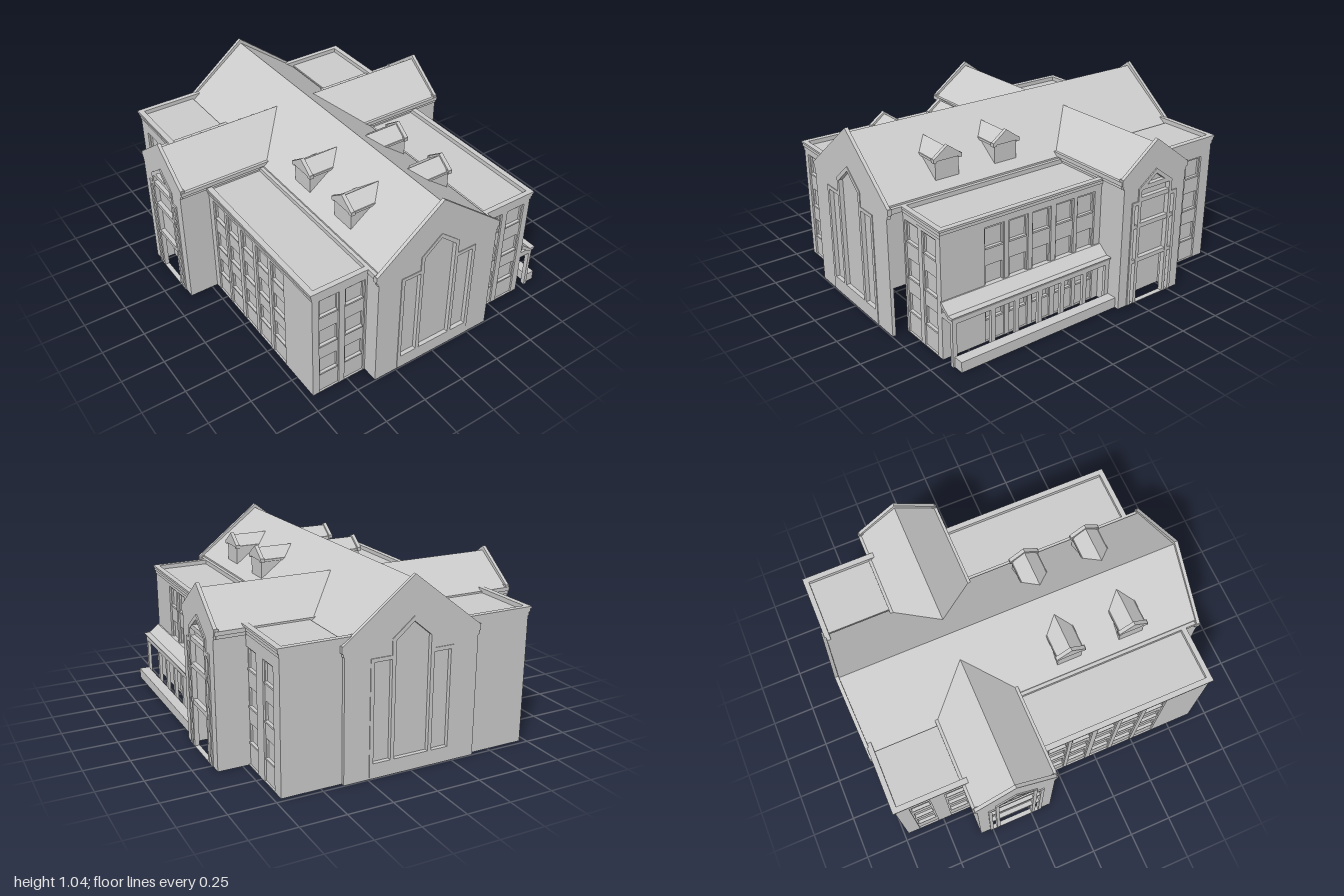
import * as THREE from 'three';

const mat = new THREE.MeshStandardMaterial({ color: 0xcccccc, side: THREE.DoubleSide, flatShading: true });
const V = (p) => p.map(([x, y]) => new THREE.Vector2(x, y));
const rect = (x0, x1, y0, y1) => [[x0, y0], [x1, y0], [x1, y1], [x0, y1]];

function add(parent, name, geo) {
  const m = new THREE.Mesh(geo, mat);
  m.name = name;
  parent.add(m);
  return m;
}
function box(parent, name, x0, x1, y0, y1, z0, z1) {
  const g = new THREE.BoxGeometry(Math.abs(x1 - x0), y1 - y0, Math.abs(z1 - z0));
  g.translate((x0 + x1) / 2, (y0 + y1) / 2, (z0 + z1) / 2);
  return add(parent, name, g);
}
// Flat outline with holes, extruded from z0 to z1
function slab(parent, name, outline, z0, z1, holes = []) {
  const s = new THREE.Shape(V(outline));
  holes.forEach((h) => s.holes.push(new THREE.Path(V(h))));
  const g = new THREE.ExtrudeGeometry(s, { depth: z1 - z0, bevelEnabled: false });
  g.translate(0, 0, z0);
  return add(parent, name, g);
}
const chevron = (w, e, r, t) => [[-w, e], [0, r], [w, e], [w, e - t], [0, r - t], [-w, e - t]];
const gable = (w, e, r) => [[-w, 0], [w, 0], [w, e], [0, r], [-w, e]];

// Main roof surface, used to trim the roofs that run into it
const RIDGE = 1.015, SLOPE = 0.76;
const roofX = (y) => (RIDGE - y) / SLOPE;

// Pitched roof whose inner end is cut along the main roof
function trimmedRoof(parent, name, w, e, r, t, zOut) {
  const m = slab(parent, name, chevron(w, e, r, t), 0, zOut);
  const p = m.geometry.attributes.position;
  for (let i = 0; i < p.count; i++) if (p.getZ(i) < 1e-4) p.setZ(i, roofX(p.getY(i)) - 0.01);
  m.geometry.computeVertexNormals();
}
// Group whose +z looks out towards side * x
function sideGroup(parent, name, side, z) {
  const g = new THREE.Group();
  g.name = name;
  g.rotation.y = side * Math.PI / 2;
  g.position.z = z;
  parent.add(g);
  return g;
}

// Wall with recessed window bays, three storeys each
function facade(parent, name, x0, x1, h, z, centres) {
  const g = new THREE.Group();
  g.name = name;
  parent.add(g);
  const lo = Math.min(x0, x1), hi = Math.max(x0, x1), rows = [0.135, 0.335, 0.54];
  const bays = centres.map((c) => rect(c - 0.061, c + 0.061, 0.004, 0.655));
  const wins = centres.flatMap((c) => rows.map((y) => rect(c - 0.051, c + 0.051, y, y + 0.103)));
  slab(g, 'wallFace', rect(lo, hi, 0, h), z - 0.01, z, bays);
  slab(g, 'wallCore', rect(lo, hi, 0, h), z - 0.022, z - 0.01, wins);
  centres.forEach((c) => rows.forEach((y) => {
    box(g, 'windowPane', c - 0.052, c + 0.052, y, y + 0.104, z - 0.026, z - 0.021);
    box(g, 'windowSill', c - 0.055, c + 0.055, y - 0.01, y, z - 0.012, z - 0.003);
  }));
}

// Tall pointed window with a lower light on either side; glass starts at height b.glass
function bayWindow(parent, b, zWall, zFrame) {
  const { c, s, low, sh, peak, f, sill } = b;
  const outlineFrom = (y) => [[-s, y], [s, y], [s, low], [c, low], [c, sh], [0, peak], [-c, sh], [-c, low], [-s, low]];
  const outline = outlineFrom(0.004), ci = c - f;
  const holes = [[[-ci, sill], [ci, sill], [ci, sh - f * 0.6], [0, peak - f * 1.3], [-ci, sh - f * 0.6]]];
  for (const k of [-1, 1]) holes.push(rect(k * c, k * (s - f), sill, low - f));
  slab(parent, 'bayFrame', outline, zWall - 0.02, zFrame, holes);
  slab(parent, 'bayGlass', outlineFrom(b.glass), zWall - 0.026, zWall - 0.02);
  for (const y of b.bands) {
    box(parent, 'bayTransom', -ci, ci, y, y + 0.025, zWall - 0.02, zFrame - 0.002);
    if (y < low - 0.05) for (const k of [-1, 1]) box(parent, 'sideTransom', k * c, k * (s - f), y, y + 0.02, zWall - 0.02, zFrame - 0.003);
  }
  return outline;
}

// Gable end: wall, window, flush coping and kneelers
function gableEnd(parent, w, e, r, b, zWall, zFrame) {
  const outline = bayWindow(parent, b, zWall, zFrame);
  slab(parent, 'gableWall', gable(w, e, r), zWall - 0.02, zWall, [outline]);
  slab(parent, 'gableCoping', chevron(w + 0.01, e + 0.02, r + 0.025, 0.04), zWall - 0.02, zWall);
  for (const k of [-1, 1]) {
    box(parent, 'kneeler', k * (w - 0.02), k * (w + 0.015), e - 0.015, e + 0.02, zWall - 0.025, zWall);
    box(parent, 'kneelerFoot', k * (w - 0.02), k * (w + 0.007), e - 0.035, e - 0.015, zWall - 0.022, zWall);
  }
}

// Flat-roofed wing between za (outer end) and zb
function wing(model, side, name, za, zb, h, centres, endCentres, innerX, cornicePast) {
  const g = new THREE.Group();
  g.name = name;
  model.add(g);
  const X = 0.715, d = Math.sign(za), wallH = h - 0.03;
  const flank = sideGroup(g, name + 'Flank', side, 0);
  facade(flank, 'flankWall', -side * za, -side * zb, wallH, X, centres.map((z) => -side * z));
  if (endCentres.length) facade(g, 'endWall', side * 0.38, side * X, wallH, za, endCentres.map((x) => side * x));
  else box(g, 'endWall', side * 0.38, side * X, 0, wallH, za - d * 0.02, za);
  box(g, 'flatRoof', side * 0.37, side * X, h - 0.035, h - 0.025, za, zb);
  // Stepped cornice and parapet
  [[0.004, h - 0.05, h - 0.03], [0.009, h - 0.03, h - 0.012], [0.014, h - 0.012, h]].forEach(([o, y0, y1]) => {
    box(g, 'flankCornice', side * (X - 0.018), side * (X + o), y0, y1, za + d * o * 0.7, zb + cornicePast);
    box(g, 'endCornice', side * innerX, side * (X + o), y0, y1, za - d * 0.02, za + d * o * 0.7);
  });
}

// Plain gabled dormer
function dormer(model, side, z) {
  const g = sideGroup(model, 'dormer', side, z);
  trimmedRoof(g, 'dormerRoof', 0.075, 0.885, 0.943, 0.015, 0.315);
  slab(g, 'dormerFace', [[-0.072, 0.755], [0.072, 0.755], [0.072, 0.885], [0, 0.94], [-0.072, 0.885]], 0.3, 0.318);
  slab(g, 'dormerCoping', [[-0.085, 0.893], [-0.072, 0.88], [0.072, 0.88], [0.085, 0.893], [0, 0.955]], 0.306, 0.328);
  for (const k of [-1, 1]) {
    slab(g, 'dormerKneeler', rect(k * 0.066, k * 0.088, 0.872, 0.893), 0.303, 0.328);
    box(g, 'dormerEave', k * 0.07, k * 0.08, 0.872, 0.885, 0.165, 0.305);
    box(g, 'dormerCheek', k * 0.058, k * 0.072, 0.76, 0.885, 0.17, 0.31);
  }
}

export function createModel() {
  const model = new THREE.Group();
  model.name = 'building';

  // Main hall, with the left-hand ground floor open to the wings
  const bigBay = { c: 0.122, s: 0.242, low: 0.645, sh: 0.73, peak: 0.83, f: 0.021, sill: 0.085, glass: 0.004, bands: [] };
  slab(model, 'mainRoof', chevron(0.37, RIDGE - 0.37 * SLOPE, RIDGE, 0.02), -0.985, 0.985);
  for (const k of [-1, 1]) {
    for (const [z0, z1, y] of [[-0.985, -0.57, 0.28], [-0.57, -0.125, 0], [-0.125, 0.985, 0.28]]) {
      box(model, 'hallWall', k * 0.365, k * 0.385, k > 0 ? y : 0, 0.705, z0, z1);
    }
    box(model, 'hallEave', k * 0.36, k * 0.39, 0.695, 0.724, -0.985, 0.985);
    const end = new THREE.Group();
    end.name = k > 0 ? 'frontGable' : 'backGable';
    if (k < 0) end.rotation.y = Math.PI;
    gableEnd(end, 0.385, 0.71, 1.015, bigBay, 0.996, 1.0);
    model.add(end);
  }
  box(model, 'frontUpperFloor', -0.365, 0.69, 0.28, 0.29, -0.125, 0.876);
  box(model, 'rearUpperFloor', -0.365, 0.69, 0.28, 0.29, -0.955, -0.57);

  // Cross hall
  const tallBay = { c: 0.122, s: 0.165, low: 0.62, sh: 0.69, peak: 0.78, f: 0.02, sill: 0.007, glass: 0.255, bands: [0.255, 0.462, 0.612, 0.68] };
  for (const k of [-1, 1]) box(model, 'crossWall', -0.868, 0.868, 0, 0.74, -0.35 + k * 0.205, -0.35 + k * 0.225);
  for (const side of [-1, 1]) {
    const t = sideGroup(model, 'crossHall', side, -0.35);
    trimmedRoof(t, 'crossRoof', 0.235, 0.752, 0.92, 0.02, 0.875);
    gableEnd(t, 0.225, 0.748, 0.92, tallBay, 0.887, 0.894);
    // Recessed entrance
    box(t, 'entranceBack', -0.165, 0.165, 0, 0.27, 0.79, 0.8);
    box(t, 'entranceSoffit', -0.165, 0.165, 0.262, 0.272, 0.79, 0.868);
    for (const k of [-1, 1]) {
      box(t, 'entranceJamb', k * 0.165, k * 0.175, 0, 0.27, 0.79, 0.868);
      box(t, 'crossEave', k * 0.22, k * 0.245, 0.735, 0.757, 0.31, 0.885);
      box(t, 'crossCornice', k * 0.22, k * 0.235, 0.715, 0.735, 0.36, 0.875);
    }

    // Wings and dormers
    const columns = [0.58, 0.43, 0.28, 0.125, -0.02];
    wing(model, side, 'frontWing', 0.902, -0.125, 0.724, columns, [0.457, 0.614], 0.385, 0);
    wing(model, side, 'rearWing', -0.975, -0.57, 0.772, [-0.636, -0.84], [], 0.31, 0.04);
    for (const z of [0.215, 0.59]) dormer(model, side, z);
  }

  // Covered walk along the left flank
  const walk = new THREE.Group();
  walk.name = 'coveredWalk';
  model.add(walk);
  const profile = [[0.712, 0.335], [0.722, 0.335], [0.78, 0.288], [0.815, 0.288], [0.808, 0.272], [0.778, 0.27], [0.712, 0.315]];
  slab(walk, 'walkRoof', profile, -0.125, 0.908);
  box(walk, 'walkBeam', 0.783, 0.804, 0.245, 0.275, -0.125, 0.9);
  box(walk, 'walkEndBeam', 0.715, 0.8, 0.245, 0.28, 0.88, 0.9);
  for (const z of [0.887, 0.655, 0.505, 0.355, 0.205, 0.05, -0.11]) {
    box(walk, 'walkPost', 0.784, 0.803, 0, 0.25, z - 0.013, z + 0.013);
  }
  box(walk, 'lowWall', 0.803, 0.862, 0, 0.06, -0.125, 0.89);

  return model;
}
